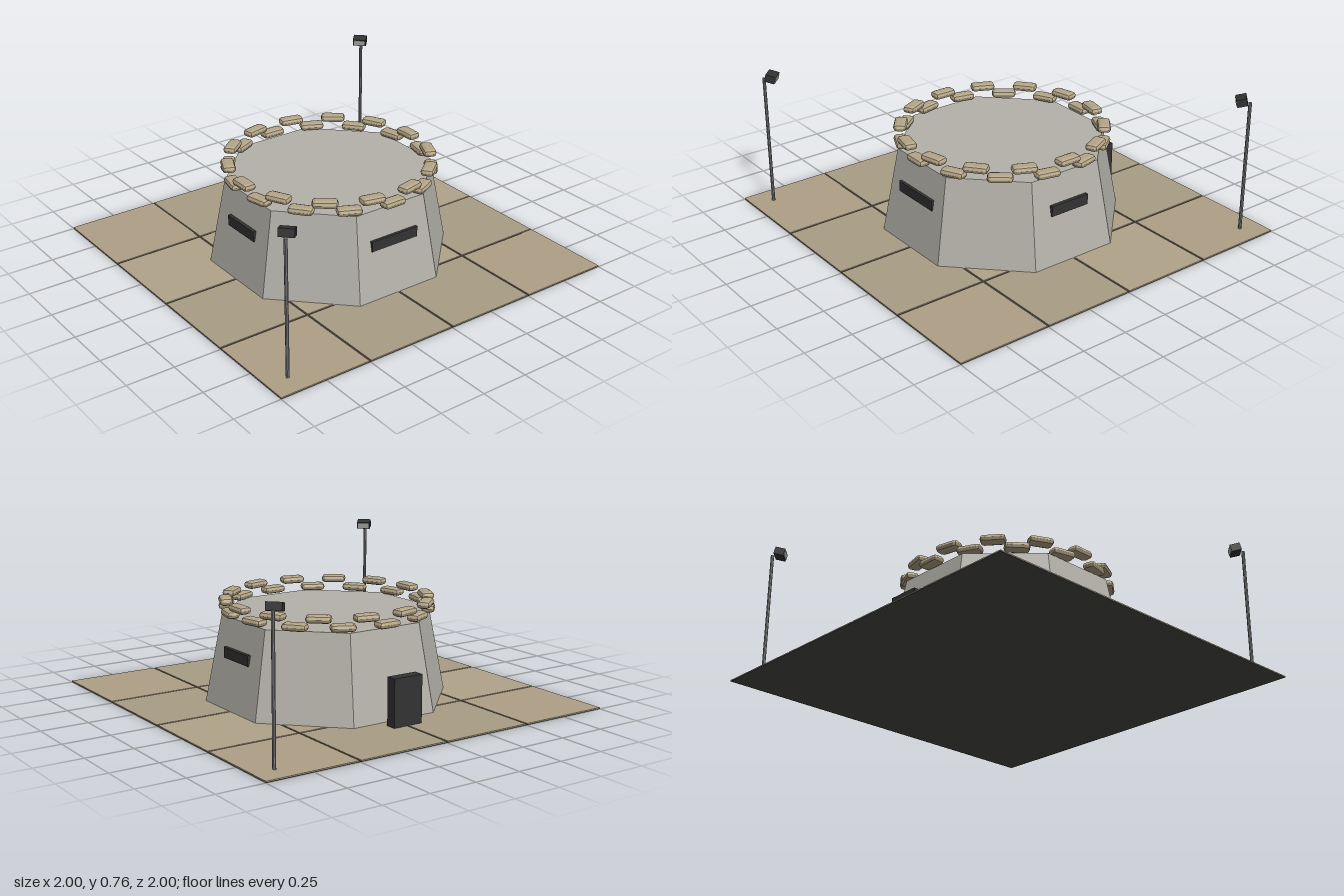
import * as THREE from 'three';
import { RoundedBoxGeometry } from 'three/addons/geometries/RoundedBoxGeometry.js';

const mat = (color) => new THREE.MeshStandardMaterial({ color, flatShading: true });

function add(parent, name, geometry, material, x = 0, y = 0, z = 0) {
  const mesh = new THREE.Mesh(geometry, material);
  mesh.name = name;
  mesh.position.set(x, y, z);
  parent.add(mesh);
  return mesh;
}

export function createModel() {
  const model = new THREE.Group();
  model.name = 'bunker';

  const concrete = mat(0xb4b2aa);
  const dark = mat(0x333333);
  const steel = mat(0x808080);
  const lens = mat(0xb8b8b4);
  const joint = mat(0x4a4a48);
  const burlap = mat(0xb5a688);
  const tileShades = [mat(0xae9f86), mat(0xa99d84), mat(0xb2a389)];

  // Ground: dark slab with sixteen paving tiles, open joints between them
  const ground = new THREE.Group();
  ground.name = 'ground';
  model.add(ground);
  add(ground, 'slab', new THREE.BoxGeometry(2, 0.004, 2), joint, 0, 0.002, 0);
  const gap = 0.005;
  const tileSpan = (i) => {
    const a = -1 + i * 0.5 + (i > 0 ? gap : 0);
    const b = -0.5 + i * 0.5 - (i < 3 ? gap : 0);
    return { size: b - a, mid: (a + b) / 2 };
  };
  for (let i = 0; i < 4; i++) {
    for (let j = 0; j < 4; j++) {
      const u = tileSpan(i);
      const v = tileSpan(j);
      add(ground, 'tile', new THREE.BoxGeometry(u.size, 0.004, v.size),
        tileShades[(i * 2 + j * j) % 3], u.mid, 0.006, v.mid);
    }
  }

  // Octagonal tapered walls with a flat roof
  const walls = add(model, 'walls',
    new THREE.CylinderGeometry(0.55, 0.64, 0.455, 8), concrete, 0, 0.2325, 0);
  walls.rotation.y = Math.PI / 8;

  // Firing slits on the front, back and +x side
  add(model, 'frontSlit', new THREE.BoxGeometry(0.23, 0.056, 0.06), dark, 0, 0.287, 0.523);
  add(model, 'backSlit', new THREE.BoxGeometry(0.23, 0.056, 0.06), dark, 0, 0.287, -0.523);
  add(model, 'sideSlit', new THREE.BoxGeometry(0.06, 0.056, 0.285), dark, 0.52, 0.287, 0);

  // Blast door standing just off the -x wall
  add(model, 'door', new THREE.BoxGeometry(0.057, 0.25, 0.168), dark, -0.672, 0.13, 0);

  // Two staggered rings of sandbags around the roof edge
  const sandbags = new THREE.Group();
  sandbags.name = 'sandbags';
  model.add(sandbags);
  const bag = new RoundedBoxGeometry(0.13, 0.04, 0.07, 1, 0.019);
  const count = 14;
  for (let row = 0; row < 2; row++) {
    for (let i = 0; i < count; i++) {
      const angle = ((i + (row === 0 ? 0.5 : 0)) / count) * Math.PI * 2;
      const m = add(sandbags, 'sandbag', bag, burlap,
        Math.sin(angle) * 0.525, 0.484 + row * 0.044, Math.cos(angle) * 0.525);
      m.rotation.y = angle;
    }
  }

  // Floodlights in two opposite corners, aimed down at the bunker
  for (const side of [1, -1]) {
    const light = new THREE.Group();
    light.name = 'floodlight';
    model.add(light);
    add(light, 'pole', new THREE.CylinderGeometry(0.009, 0.009, 0.715, 8), steel,
      side * 0.885, 0.3645, side * 0.885);
    const head = new THREE.Group();
    head.name = 'lampHead';
    head.position.set(side * 0.855, 0.731, side * 0.855);
    head.rotation.order = 'YXZ';
    head.rotation.y = side > 0 ? -Math.PI * 0.75 : Math.PI / 4;
    head.rotation.x = 0.25;
    light.add(head);
    add(head, 'lampHousing', new THREE.BoxGeometry(0.076, 0.04, 0.054), dark);
    add(head, 'lampLens', new THREE.BoxGeometry(0.064, 0.03, 0.004), lens, 0, 0, 0.028);
  }

  return model;
}
